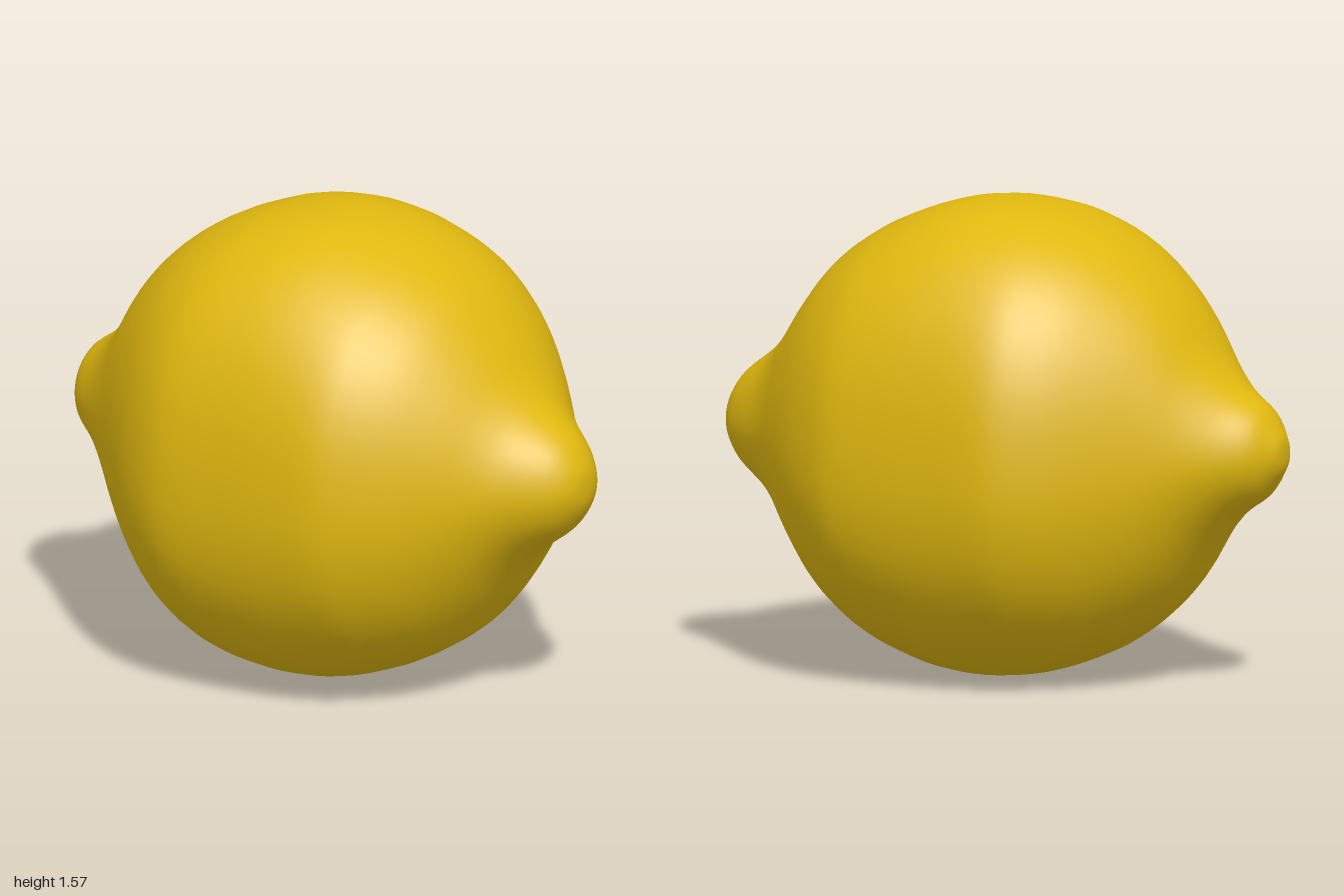
import * as THREE from 'three';

// Stations along the fruit: x, half height (y), half depth (z)
const stations = [
  [-1, 0, 0], [-0.995, 0.05, 0.05], [-0.97, 0.095, 0.095], [-0.93, 0.15, 0.15],
  [-0.84, 0.215, 0.225], [-0.75, 0.315, 0.305], [-0.64, 0.48, 0.41], [-0.53, 0.59, 0.515],
  [-0.4, 0.68, 0.62], [-0.27, 0.737, 0.685], [-0.17, 0.767, 0.7], [0, 0.786, 0.695],
  [0.17, 0.768, 0.685], [0.35, 0.705, 0.66], [0.45, 0.65, 0.61], [0.55, 0.575, 0.535],
  [0.65, 0.46, 0.435], [0.75, 0.32, 0.32], [0.82, 0.245, 0.25], [0.93, 0.16, 0.155],
  [0.975, 0.1, 0.1], [0.996, 0.05, 0.05], [1, 0, 0],
];
const CENTRE_Y = 0.786;
const RINGS = 80, SIDES = 64;

// Signed power, used for slightly squared cross-sections
const bend = (v, p) => Math.sign(v) * Math.pow(Math.abs(v), p);

function fruitGeometry() {
  const curve = new THREE.CatmullRomCurve3(stations.map((s) => new THREE.Vector3(...s)));
  const positions = [], index = [];
  for (let i = 0; i <= RINGS; i++) {
    const p = curve.getPoint(i / RINGS);
    const power = 2 / (2 + 0.28 * Math.max(0, 1 - p.x * p.x * 1.6)); // fuller belly, round tips
    for (let j = 0; j < SIDES; j++) {
      const a = (j / SIDES) * Math.PI * 2;
      const up = bend(Math.cos(a), power);
      const sag = 1 - 0.015 * up * (1 - Math.abs(up)) * 4; // sides a touch fuller below
      positions.push(p.x, CENTRE_Y + p.y * up, p.z * bend(Math.sin(a), power) * sag);
    }
  }
  for (let i = 0; i < RINGS; i++) {
    for (let j = 0; j < SIDES; j++) {
      const k = (j + 1) % SIDES;
      const a = i * SIDES + j, b = i * SIDES + k, c = a + SIDES, d = b + SIDES;
      if (i > 0) index.push(a, b, c);
      if (i < RINGS - 1) index.push(b, d, c);
    }
  }
  const geometry = new THREE.BufferGeometry();
  geometry.setAttribute('position', new THREE.Float32BufferAttribute(positions, 3));
  geometry.setIndex(index);
  geometry.computeVertexNormals();
  // The tip rings are single points, so their normals lie along the axis
  const normal = geometry.attributes.normal;
  for (let j = 0; j < SIDES; j++) {
    normal.setXYZ(j, -1, 0, 0);
    normal.setXYZ(RINGS * SIDES + j, 1, 0, 0);
  }
  return geometry;
}

export function createModel() {
  const group = new THREE.Group();
  group.name = 'lemon';
  const peel = new THREE.MeshStandardMaterial({ color: 0xe0b80f });
  peel.name = 'lemonYellow';
  const fruit = new THREE.Mesh(fruitGeometry(), peel);
  fruit.name = 'fruit';
  group.add(fruit);
  return group;
}
